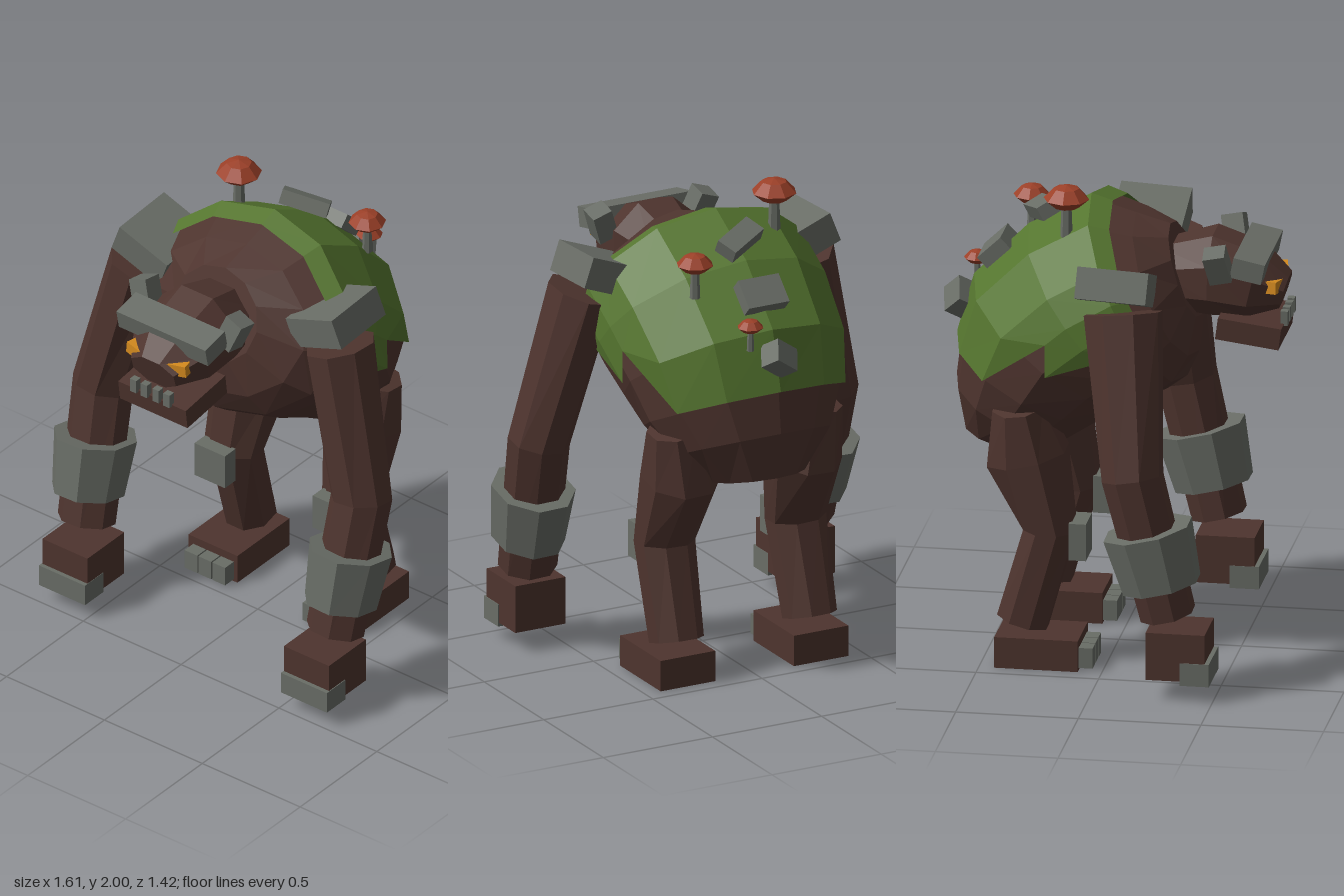
import * as THREE from 'three';

const material = (name, color) => Object.assign(new THREE.MeshStandardMaterial({ color }), { name });

export function createModel() {
  const model = new THREE.Group();
  const hide = material('brown hide', 0x4e342e);
  const moss = material('moss green', 0x55752f);
  const stone = material('grey stone', 0x696d66);
  const red = material('mushroom red', 0x9c4028);
  const amber = material('eye amber', 0xd48a1e);
  moss.side = THREE.DoubleSide;

  const V = (x, y, z) => new THREE.Vector3(x, y, z);
  const add = (name, geometry, mat) => {
    const mesh = new THREE.Mesh(geometry, mat);
    mesh.name = name;
    model.add(mesh);
    return mesh;
  };
  const box = (name, mat, size, pos, rot = [0, 0, 0]) => {
    const mesh = add(name, new THREE.BoxGeometry(...size), mat);
    mesh.position.set(...pos);
    mesh.rotation.set(...rot);
    return mesh;
  };
  const faceted = (geometry) => {
    const flat = geometry.index ? geometry.toNonIndexed() : geometry;
    flat.computeVertexNormals();
    return flat;
  };

  // Skin rows of points; closed rows wrap round and get end caps
  const skin = (rows, closed) => {
    const out = [];
    const tri = (...ps) => ps.forEach((p) => out.push(p.x, p.y, p.z));
    const n = rows[0].length;
    for (let i = 0; i < rows.length - 1; i++) {
      for (let j = 0; j < (closed ? n : n - 1); j++) {
        const k = (j + 1) % n;
        const [a, b, c, d] = [rows[i][j], rows[i][k], rows[i + 1][k], rows[i + 1][j]];
        tri(a, b, c);
        tri(a, c, d);
      }
    }
    if (closed) {
      const first = rows[0], last = rows[rows.length - 1];
      for (let j = 1; j < n - 1; j++) {
        tri(first[0], first[j + 1], first[j]);
        tri(last[0], last[j], last[j + 1]);
      }
    }
    const geometry = new THREE.BufferGeometry();
    geometry.setAttribute('position', new THREE.Float32BufferAttribute(out, 3));
    return faceted(geometry);
  };

  // Eight-sided limb through stations [x, y, z, half width, half depth]
  const limb = (stations) => {
    const pts = stations.map((s) => V(s[0], s[1], s[2]));
    const rows = stations.map((s, i) => {
      const t = pts[Math.min(i + 1, pts.length - 1)].clone().sub(pts[Math.max(i - 1, 0)]).normalize();
      const side = V(1, 0, 0).addScaledVector(t, -t.x).normalize();
      const depth = t.clone().cross(side);
      return Array.from({ length: 8 }, (_, j) => {
        const a = ((j + 0.5) * Math.PI) / 4;
        return pts[i].clone()
          .addScaledVector(side, (Math.cos(a) * s[3]) / 0.94)
          .addScaledVector(depth, (Math.sin(a) * s[4]) / 0.94);
      });
    });
    return skin(rows, true);
  };

  // Torso rings from rump to neck: back z, back y, belly z, belly y, half width
  const rings = [
    [-0.63, 0.9, -0.28, 0.82, 0.2], [-0.66, 1.1, -0.16, 0.88, 0.34],
    [-0.64, 1.27, -0.02, 0.97, 0.42], [-0.57, 1.51, 0.1, 1.03, 0.46],
    [-0.35, 1.73, 0.2, 1.08, 0.48], [-0.1, 1.87, 0.28, 1.14, 0.48],
    [0.07, 1.82, 0.33, 1.25, 0.39], [0.21, 1.78, 0.34, 1.4, 0.21],
  ];
  const torsoPoint = (u, degrees, scale = 1) => {
    const i = Math.min(Math.floor(u), rings.length - 2);
    const [bz, by, fz, fy, w] = rings[i].map((v, k) => v + (rings[i + 1][k] - v) * (u - i));
    const a = THREE.MathUtils.degToRad(degrees);
    const c = Math.cos(a) * scale / 2;
    return V(-Math.sin(a) * w * scale, (by + fy) / 2 + (by - fy) * c, (bz + fz) / 2 + (bz - fz) * c);
  };
  add('torso', skin(rings.map((_, u) => Array.from({ length: 12 }, (_, j) => torsoPoint(u, j * 30))), true), hide);

  // Moss cape with a jagged lower edge: [angle, lowest ring]
  const edge = [[0, 2], [30, 2], [60, 2], [78, 3.5], [92, 3], [106, 4.7]];
  const columns = [...edge.slice(1).reverse().map(([a, u]) => [-a, u]), ...edge];
  add('mossCape', skin([2, 3, 4, 5, 5.5].map((row) =>
    columns.map(([a, low]) => torsoPoint(Math.max(row, low), a, 1.06))), false), moss);

  // Head, brow, jaw and teeth
  add('head', limb([
    [0, 1.57, 0.18, 0.14, 0.13], [0, 1.595, 0.39, 0.195, 0.17],
    [0, 1.56, 0.56, 0.185, 0.14], [0, 1.525, 0.68, 0.11, 0.07],
  ]), hide);
  box('brow', stone, [0.455, 0.085, 0.13], [0, 1.67, 0.56], [0.2, 0, 0]);
  box('jaw', hide, [0.345, 0.09, 0.26], [0, 1.385, 0.555], [0.13, 0, 0]);
  for (const x of [-0.085, -0.03, 0.03, 0.085]) {
    box('tooth', stone, [0.032, 0.06, 0.03], [x, 1.435, 0.69]);
  }

  for (const s of [-1, 1]) {
    box('eye', amber, [0.085, 0.05, 0.045], [s * 0.105, 1.573, 0.65], [0, s * 0.2, s * 0.1]);
    box('horn', stone, [0.085, 0.13, 0.09], [s * 0.225, 1.69, 0.44], [-0.2, 0, -s * 0.35]);
    box('shoulderStone', stone, [0.255, 0.13, 0.29], [s * 0.445, 1.65, 0.06], [0.05, 0, s * 0.36]);

    // Arm with cuff and fist
    add('arm', limb([
      [s * 0.5, 1.56, 0.1, 0.125, 0.155], [s * 0.66, 0.92, 0.165, 0.12, 0.12],
      [s * 0.635, 0.34, 0.305, 0.115, 0.108],
    ]), hide);
    add('cuff', limb([[s * 0.652, 0.7, 0.225, 0.158, 0.178], [s * 0.645, 0.465, 0.282, 0.138, 0.155]]), stone);
    box('fist', hide, [0.23, 0.2, 0.24], [s * 0.617, 0.187, 0.35]);
    box('knuckles', stone, [0.235, 0.095, 0.12], [s * 0.618, 0.118, 0.428]);

    // Leg with knee stone, foot and toes
    add('leg', limb([
      [s * 0.32, 1.085, -0.355, 0.11, 0.105], [s * 0.28, 0.86, -0.325, 0.15, 0.165],
      [s * 0.3, 0.56, -0.23, 0.12, 0.105], [s * 0.305, 0.17, -0.34, 0.105, 0.105],
    ]), hide);
    box('kneeStone', stone, [0.155, 0.155, 0.07], [s * 0.302, 0.533, -0.107]);
    box('foot', hide, [0.25, 0.13, 0.34], [s * 0.305, 0.065, -0.267]);
    for (const k of [-1, 0, 1]) {
      box('toe', stone, [0.065, 0.085, 0.07], [s * 0.302 + k * 0.071, 0.052, -0.075]);
    }
  }

  // Loose stones on the back
  box('backStone', stone, [0.2, 0.06, 0.09], [0, 1.82, -0.31], [-0.5, 0.5, 0]);
  box('backStone', stone, [0.185, 0.06, 0.13], [0, 1.645, -0.495], [-0.76, 0, 0]);
  box('backStone', stone, [0.12, 0.1, 0.09], [0, 1.42, -0.645], [0.6, 0.5, 0.4]);

  // Mushrooms: x, cap base y, z, cap radius
  for (const [x, y, z, r] of [[-0.233, 1.905, -0.175, 0.093], [0.25, 1.755, -0.395, 0.076], [0.105, 1.535, -0.595, 0.054]]) {
    const profile = [[0, 0], [0.55, 0.02], [1, 0.4], [0.55, 0.88], [0, 1.02]]
      .map(([px, py]) => new THREE.Vector2(px * r, py * r));
    add('mushroomCap', faceted(new THREE.LatheGeometry(profile, 8)), red).position.set(x, y, z);
    add('mushroomStem', faceted(new THREE.CylinderGeometry(r * 0.22, r * 0.28, r * 1.6, 6)), stone)
      .position.set(x, y - r * 0.7, z);
  }
  return model;
}
